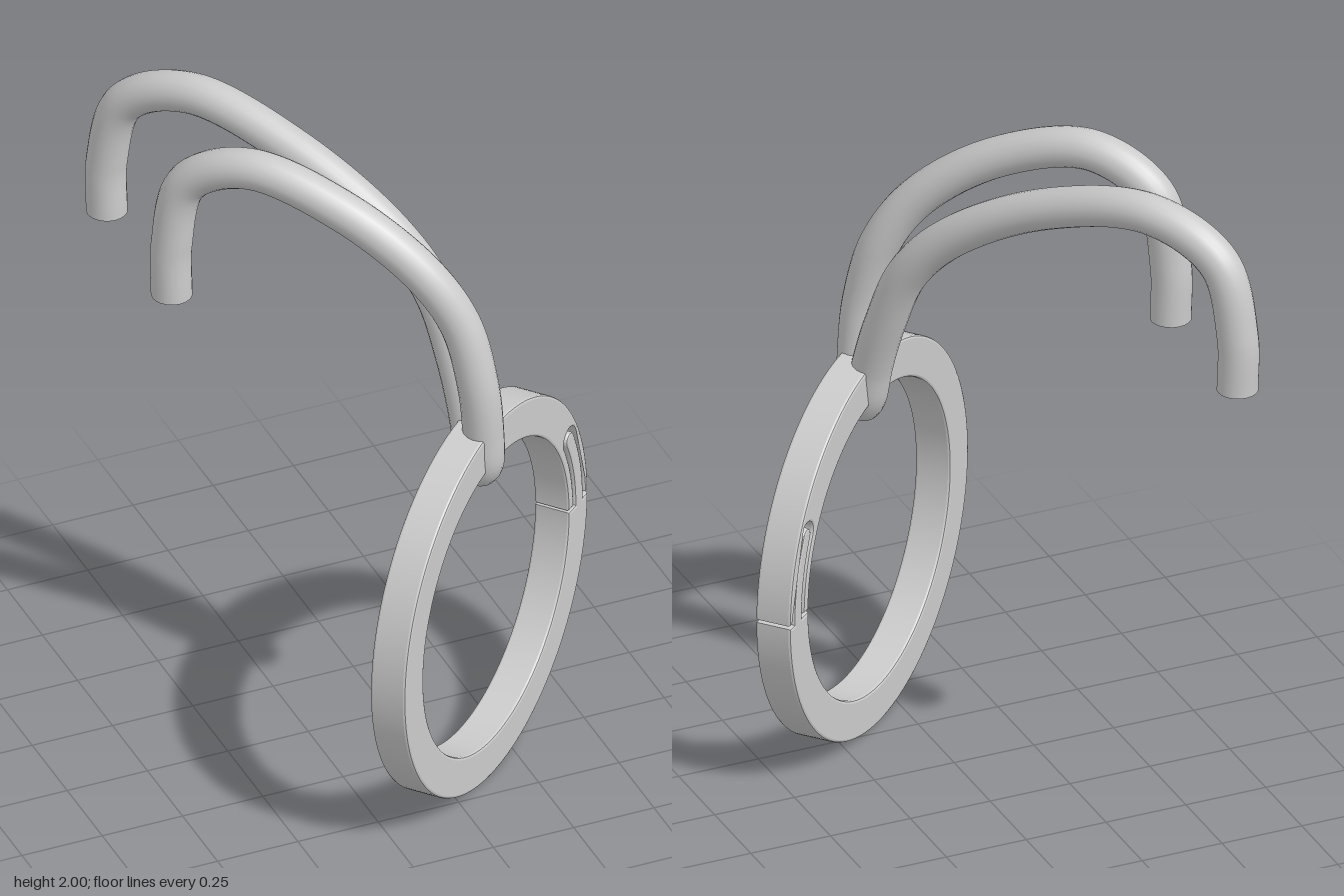
import * as THREE from 'three';
import { toCreasedNormals } from 'three/addons/utils/BufferGeometryUtils.js';

const grey = new THREE.MeshStandardMaterial({ color: 0xcccccc });
const V = (x, y, z) => new THREE.Vector3(x, y, z);

function addMesh(parent, name, geometry) {
  const mesh = new THREE.Mesh(geometry, grey);
  mesh.name = name;
  parent.add(mesh);
  return mesh;
}

// points along an arc of radius r from angle a to b, round (cx, cy)
function arc(r, a, b, steps, cx = 0, cy = 0) {
  return Array.from({ length: steps + 1 }, (_, i) => {
    const t = a + ((b - a) * i) / steps;
    return new THREE.Vector2(cx + r * Math.cos(t), cy + r * Math.sin(t));
  });
}

// a curved finger between radii r0 and r1, up to a round tip at angle end
function finger(r0, r1, start, end) {
  const mid = (r0 + r1) / 2, half = (r1 - r0) / 2;
  const tip = arc(half, end, end + Math.PI, 12, mid * Math.cos(end), mid * Math.sin(end));
  return [
    ...arc(r1, start, end, 14),
    ...tip.slice(1, -1),
    ...arc(r0, end, start, 14),
  ];
}

// split ring: the lower end carries a tongue that sits in a slot of the upper end
function ringGeometry() {
  const outer = 0.595, inner = 0.473, gap = 0.016, depth = 0.112, bevel = 0.008;
  const slot = finger(0.503, 0.579, gap, 0.485).reverse();
  const tongue = finger(0.517, 0.565, 0, 0.475);
  const outline = [
    ...arc(outer, gap, Math.PI * 2, 120),
    ...tongue,
    ...arc(inner, Math.PI * 2, gap, 120),
    ...slot,
  ];
  const geometry = new THREE.ExtrudeGeometry(new THREE.Shape(outline), {
    depth: depth - 2 * bevel,
    bevelEnabled: true,
    bevelThickness: bevel,
    bevelSize: bevel,
    bevelOffset: -bevel,
    bevelSegments: 2,
  });
  geometry.translate(0, 0, bevel - depth / 2);
  return toCreasedNormals(geometry, 0.3);
}

export function createModel() {
  const model = new THREE.Group();
  model.name = 'ringWithHooks';

  const ring = addMesh(model, 'splitRing', ringGeometry());
  ring.position.set(0.13, 0.595, 0.35);
  ring.rotation.y = 0.705;

  // both hooks share x and y and differ in depth: [x, y, front z, back z]
  const profile = [
    [-0.567, 1.445, -0.247, -0.71],
    [-0.567, 1.62, -0.247, -0.71],
    [-0.53, 1.84, -0.215, -0.66],
    [-0.4, 1.94, -0.07, -0.49],
    [-0.2, 1.865, 0.13, -0.21],
    [-0.02, 1.7, 0.285, 0.03],
    [0.07, 1.54, 0.35, 0.155],
    [0.11, 1.34, 0.388, 0.235],
    [0.125, 1.18, 0.39, 0.29],
    [0.13, 1.07, 0.38, 0.32],
  ];
  const path = [
    ...profile.map(([x, y, z]) => V(x, y, z)),
    V(0.13, 1.035, 0.35),
    ...profile.map(([x, y, , z]) => V(x, y, z)).reverse(),
  ];
  const radius = 0.06;
  const curve = new THREE.CatmullRomCurve3(path, false, 'centripetal');
  addMesh(model, 'hookWire', new THREE.TubeGeometry(curve, 240, radius, 20, false));

  // flat ends of the wire, facing down
  for (const [name, end] of [['frontHookEnd', path[0]], ['backHookEnd', path[path.length - 1]]]) {
    const cap = addMesh(model, name, new THREE.CircleGeometry(radius, 20));
    cap.rotation.x = Math.PI / 2;
    cap.position.copy(end);
  }
  return model;
}
